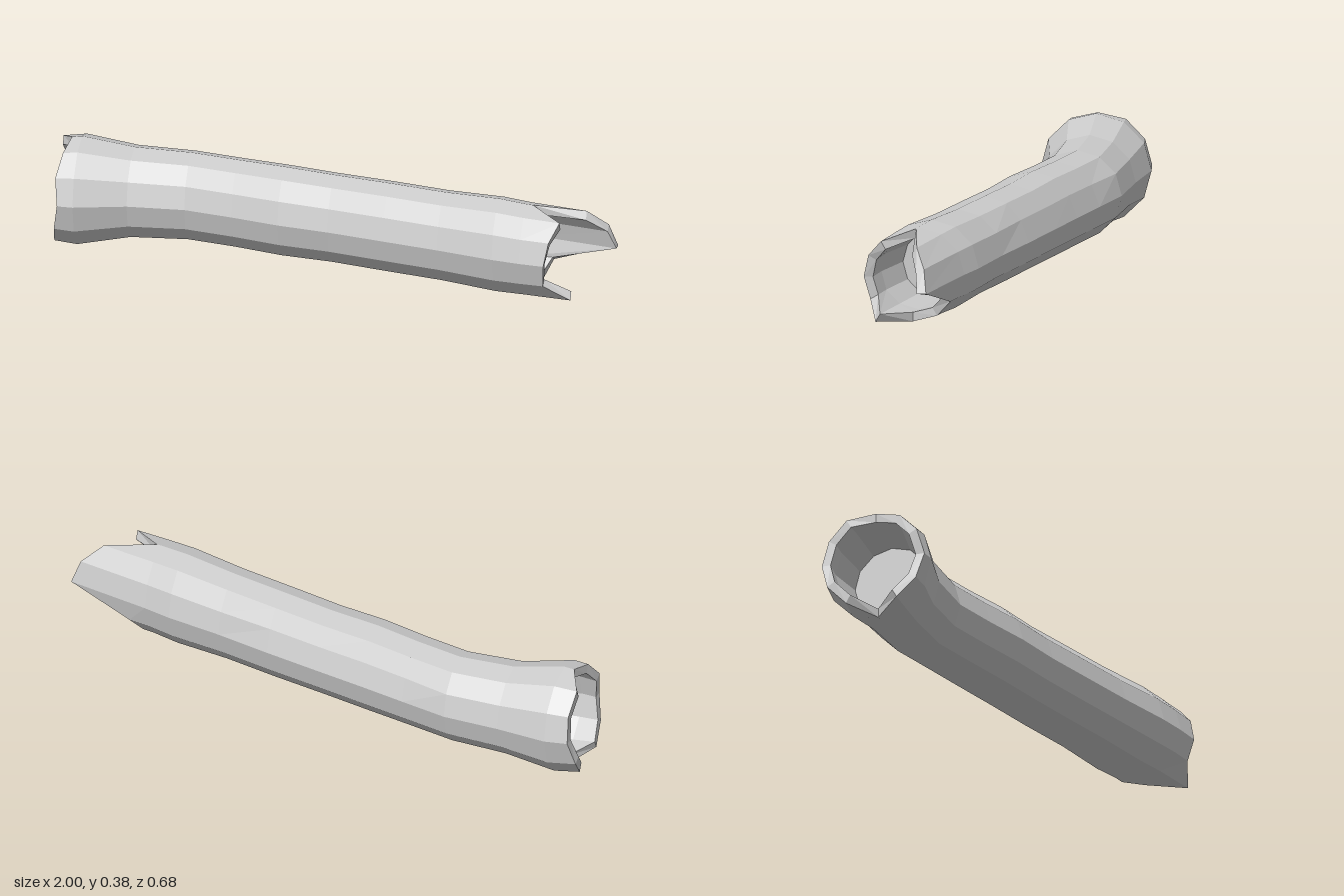
import * as THREE from 'three';

const SIDES = 12;
const CENTRE_Y = 0.196;

// Bend of the log: [x, z of the centre line, outer radius]
const SPINE = [
  [-1.0, -0.152, 0.18], [-0.9, -0.156, 0.192], [-0.72, -0.167, 0.16],
  [-0.52, -0.162, 0.154], [-0.35, -0.118, 0.154], [-0.18, -0.07, 0.157],
  [0.0, -0.028, 0.154], [0.2, 0.025, 0.156], [0.4, 0.08, 0.156],
  [0.6, 0.133, 0.164], [0.7, 0.16, 0.16], [0.8, 0.178, 0.158], [1.0, 0.235, 0.158],
];

// Broken ends: x for each side, from the back over the top to the front and underneath
const LEFT_EDGE = [-0.98, -0.975, -0.98, -0.935, -0.95, -0.965, -0.955, -0.97, -0.98, -0.91, -0.99, -1.0];
const RIGHT_EDGE = [1.0, 0.97, 0.9, 0.72, 0.83, 0.8, 0.785, 0.78, 0.87, 0.75, 0.74, 0.77];

function spineAt(x) {
  let i = 0;
  while (i < SPINE.length - 2 && x > SPINE[i + 1][0]) i++;
  const [a, b] = [SPINE[i], SPINE[i + 1]];
  const t = (x - a[0]) / (b[0] - a[0]);
  return { z: a[1] + (b[1] - a[1]) * t, r: a[2] + (b[2] - a[2]) * t };
}

// A ring of points; xs is one x or one per side, inset is the wall thickness
function ring(xs, inset = 0, scale = 1) {
  return Array.from({ length: SIDES }, (_, j) => {
    const x = Array.isArray(xs) ? xs[j] : xs;
    const a = (j / SIDES) * Math.PI * 2;
    const c = spineAt(x);
    const r = (c.r - inset) * scale;
    return [x, CENTRE_Y + r * Math.sin(a), c.z - r * Math.cos(a)];
  });
}

// Joins neighbouring rings with faceted triangles
function skin(rings, name, material) {
  const positions = [];
  for (let i = 0; i < rings.length - 1; i++) {
    for (let j = 0; j < SIDES; j++) {
      const k = (j + 1) % SIDES;
      const [a, b, c, d] = [rings[i][j], rings[i][k], rings[i + 1][j], rings[i + 1][k]];
      positions.push(...a, ...b, ...c, ...b, ...d, ...c);
    }
  }
  const geometry = new THREE.BufferGeometry();
  geometry.setAttribute('position', new THREE.Float32BufferAttribute(positions, 3));
  geometry.computeVertexNormals();
  const mesh = new THREE.Mesh(geometry, material);
  mesh.name = name;
  return mesh;
}

export function createModel() {
  const group = new THREE.Group();
  group.name = 'hollowLog';
  const wood = new THREE.MeshStandardMaterial({ color: 0xcccccc, flatShading: true });

  // Bark along the bend, with a shallow dent in the back
  const body = [-0.9, -0.72, -0.52, -0.35, -0.18, 0, 0.2, 0.4, 0.6, 0.7].map((x) => {
    const points = ring(x);
    if (x > -0.4 && x < 0.3) points[1][2] += 0.008;
    return points;
  });
  group.add(skin([ring(LEFT_EDGE), ...body, ring(RIGHT_EDGE)], 'bark', wood));

  // Left hollow: floor, inner wall and rim
  const wall = 0.032;
  group.add(skin([
    ring(-0.76, wall, 0), ring(-0.76, wall), ring(-0.9, wall), ring(LEFT_EDGE, wall), ring(LEFT_EDGE),
  ], 'leftHollow', wood));

  // Right hollow: rim, inner wall and floor
  group.add(skin([
    ring(RIGHT_EDGE), ring(RIGHT_EDGE, wall), ring(0.7, wall), ring(0.55, 0.04), ring(0.55, 0.04, 0),
  ], 'rightHollow', wood));

  return group;
}
